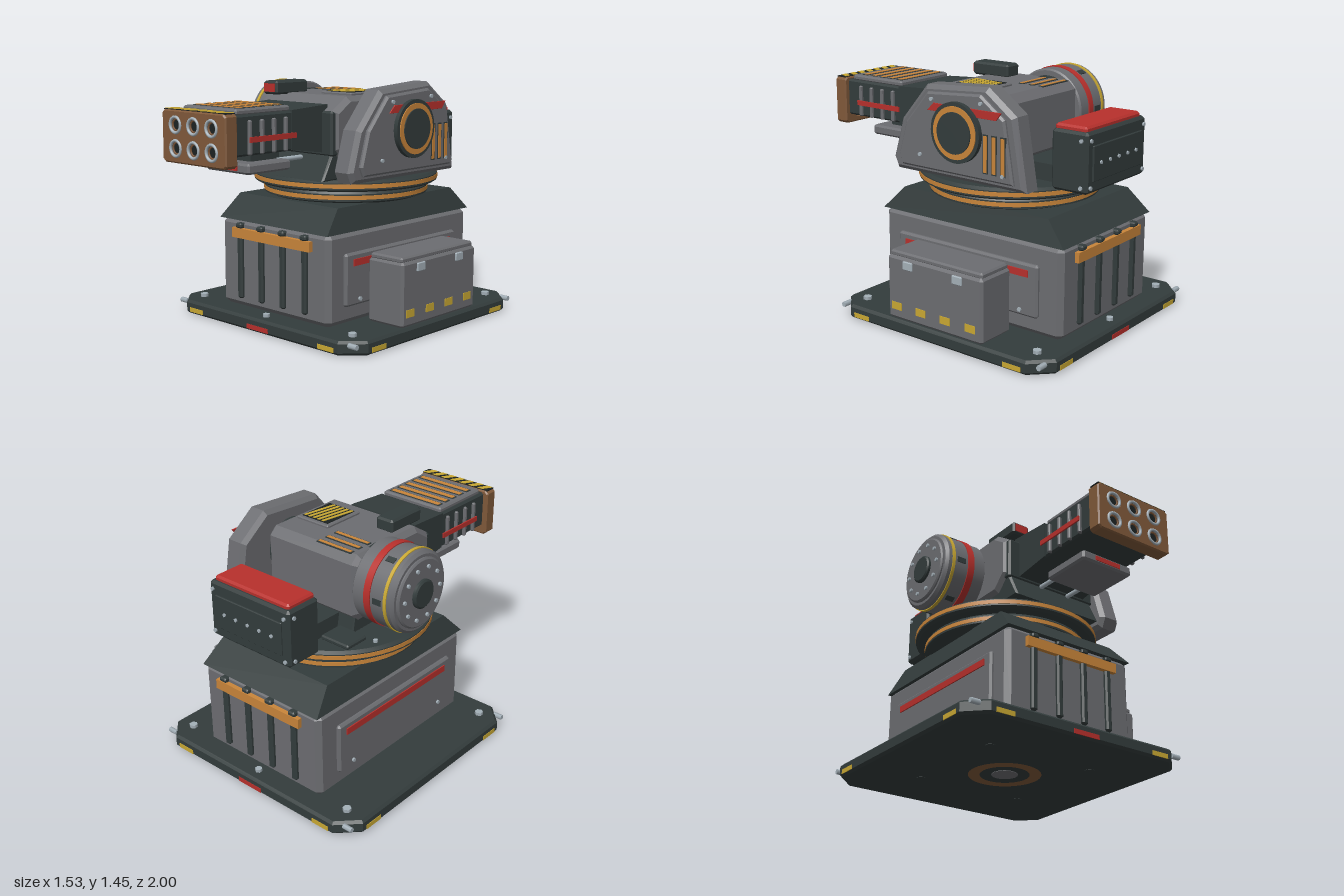
import * as THREE from 'three';
import { toCreasedNormals } from 'three/addons/utils/BufferGeometryUtils.js';

const paint = (name, color) => {
  const m = new THREE.MeshStandardMaterial({ color });
  m.name = name;
  return m;
};

// Bevelled block centred on the origin; cut is the corner chamfer seen from above
function block(w, h, d, b = 0.01, cut = b) {
  const x = w / 2, z = d / 2;
  const s = new THREE.Shape([[x - cut, -z], [x, -z + cut], [x, z - cut], [x - cut, z], [-x + cut, z], [-x, z - cut], [-x, -z + cut], [-x + cut, -z]].map(p => new THREE.Vector2(...p)));
  const g = new THREE.ExtrudeGeometry(s, { depth: h - 2 * b, bevelThickness: b, bevelSize: b, bevelOffset: -b, bevelSegments: 1 });
  return g.translate(0, 0, b - h / 2).rotateX(-Math.PI / 2);
}

// Side profile of [z, y] points extruded from x0 to x1
function sideProfile(pts, x0, x1, b) {
  const s = new THREE.Shape(pts.map(([z, y]) => new THREE.Vector2(-z, y)));
  const g = new THREE.ExtrudeGeometry(s, { depth: x1 - x0 - 2 * b, bevelThickness: b, bevelSize: b, bevelOffset: -b, bevelSegments: 1 });
  return g.translate(0, 0, x0 + b).rotateY(Math.PI / 2);
}

// Box whose vertices are moved by a rule
function warpedBox(w, h, d, rule) {
  const g = new THREE.BoxGeometry(w, h, d), p = g.attributes.position, v = new THREE.Vector3();
  for (let i = 0; i < p.count; i++) {
    rule(v.fromBufferAttribute(p, i));
    p.setXYZ(i, v.x, v.y, v.z);
  }
  g.computeVertexNormals();
  return g;
}

const lathe = (pts, n = 48) => toCreasedNormals(new THREE.LatheGeometry(pts.map(p => new THREE.Vector2(...p)), n), 0.5);
const cyl = (r, h, n = 32) => new THREE.CylinderGeometry(r, r, h, n);
const box = (w, h, d) => new THREE.BoxGeometry(w, h, d);

export function createModel() {
  const root = new THREE.Group();
  root.name = 'turret';
  const grey = paint('armour grey', 0x6c6d71), dark = paint('dark gunmetal', 0x333c3c);
  const orange = paint('orange', 0xc9853a), brown = paint('bronze', 0x80593a);
  const red = paint('red', 0xb8302c), yellow = paint('yellow', 0xc9a833);
  const silver = paint('bolt silver', 0xa4b0b8), black = paint('near black', 0x1c2222);

  const add = (name, geo, mat, x = 0, y = 0, z = 0) => {
    const m = new THREE.Mesh(geo, mat);
    m.name = name;
    m.position.set(x, y, z);
    root.add(m);
    return m;
  };
  const bolt = (x, y, z, axis = 'y', r = 0.014, h = 0.02) => {
    const m = add('bolt', cyl(r, h, 6), silver, x, y, z);
    if (axis === 'x') m.rotation.z = Math.PI / 2;
    if (axis === 'z') m.rotation.x = Math.PI / 2;
  };
  // Slanted yellow stripes lying flat on a plate
  const stripes = (name, x, y, z, w, d, n, slant) => {
    const step = (w - slant) / (n - 0.45);
    for (let i = 0; i < n; i++) {
      const a = -w / 2 + i * step, b = a + step * 0.55;
      const s = new THREE.Shape([[a, d / 2], [b, d / 2], [b + slant, -d / 2], [a + slant, -d / 2]].map(p => new THREE.Vector2(p[0], -p[1])));
      const g = new THREE.ExtrudeGeometry(s, { depth: 0.005, bevelEnabled: false }).rotateX(-Math.PI / 2);
      // shape y becomes -z, so mirror the slant by placing the strip directly
      add(name, g, yellow, x, y, z);
    }
  };
  const C = -0.235; // turntable centre z

  // Base plate with edge markings and corner bolts
  add('basePlate', block(1.52, 0.083, 1.53, 0.015, 0.12), dark, 0, 0.0415, C);
  for (const s of [-1, 1]) {
    for (const t of [-1, 1]) {
      bolt(s * 0.63, 0.09, C + t * 0.63, 'y', 0.026, 0.025);
      add('edgeMark', box(0.12, 0.028, 0.008), yellow, s * 0.55, 0.027, C + t * 0.764);
      add('edgeMark', box(0.008, 0.028, 0.12), yellow, s * 0.759, 0.027, C + t * 0.555);
      bolt(s * 0.715, 0.06, C + t * 0.72, 'x', 0.016, 0.06);
      const hole = add('footBolt', cyl(0.03, 0.006, 12), dark, s * 0.36, 0, C + t * 0.36);
      hole.position.y = 0.001;
    }
    add('edgeMarkCentre', box(0.18, 0.028, 0.008), red, 0, 0.027, C + s * 0.764);
    bolt(0, 0.092, C + s * 0.69, 'y', 0.022);
  }
  add('bottomRing', new THREE.RingGeometry(0.15, 0.22, 40).rotateX(Math.PI / 2), brown, 0, -0.003, C);
  add('bottomHub', cyl(0.08, 0.006, 20), grey, 0, 0, C);

  // Pedestal and sloped shoulder
  add('pedestal', block(0.9, 0.54, 1.29, 0.03), grey, 0, 0.355, -0.245);
  add('shoulder', warpedBox(0.9, 0.14, 1.31, v => {
    if (v.y > 0) { v.x *= 0.91; v.z *= 0.8; }
  }), dark, 0, 0.69, -0.245);

  // Pipes and orange clamp on the pedestal front and back
  for (const s of [-1, 1]) {
    const z = -0.245 + s * 0.65;
    for (const x of [-0.27, -0.09, 0.09, 0.27]) {
      add('pipe', block(0.042, 0.46, 0.035, 0.01), dark, x, 0.37, z);
      add('pipeClip', block(0.05, 0.03, 0.05, 0.008), dark, x, 0.59, z);
    }
    add('pipeClamp', box(0.65, 0.06, 0.046), orange, 0, 0.545, z);
    // Side panels with red stripe
    add('sidePanel', block(0.04, 0.31, 1.02, 0.012), grey, s * 0.453, 0.345, -0.235);
    add('sideStripe', box(0.012, 0.04, 0.9), red, s * 0.474, 0.445, -0.235);
    for (const z2 of [0.16, -0.63]) bolt(s * 0.474, 0.225, z2, 'x', 0.013);
  }

  // Supply box beside the pedestal
  add('supplyBox', block(0.26, 0.38, 0.69, 0.015), grey, 0.62, 0.275, -0.235);
  add('supplyLid', block(0.235, 0.035, 0.67, 0.01), grey, 0.617, 0.475, -0.235);
  for (const z of [-0.05, -0.41]) add('latch', block(0.015, 0.05, 0.07, 0.004), silver, 0.753, 0.425, z);
  for (const z of [0.04, -0.14, -0.32, -0.5]) add('supplyMark', box(0.008, 0.045, 0.072), yellow, 0.75, 0.165, z);

  // Turntable rings with orange bands
  add('lowerRing', lathe([[0, 0.755], [0.46, 0.755], [0.505, 0.772], [0.505, 0.815], [0.495, 0.828], [0, 0.828]]), dark, 0, 0, C);
  add('ringNeck', cyl(0.45, 0.03, 40), dark, 0, 0.83, C);
  add('upperRing', lathe([[0, 0.836], [0.545, 0.836], [0.565, 0.848], [0.565, 0.888], [0.545, 0.902], [0, 0.902]]), dark, 0, 0, C);
  for (const [r, y] of [[0.505, 0.795], [0.565, 0.87]])
    add('ringBand', lathe([[r - 0.01, y - 0.012], [r + 0.003, y - 0.012], [r + 0.003, y + 0.012], [r - 0.01, y + 0.012]]), orange, 0, 0, C);
  for (let i = 0; i < 8; i++) {
    const a = (i + 0.5) * Math.PI / 4;
    bolt(Math.sin(a) * 0.5, 0.908, C + Math.cos(a) * 0.5);
  }
  add('deckHatch', block(0.2, 0.03, 0.16, 0.008), dark, -0.31, 0.915, -0.52);

  // Yoke and main body
  add('yoke', sideProfile([[0.3, 0.9], [0.22, 1.06], [-0.42, 1.06], [-0.45, 0.9]], -0.31, 0.31, 0.012), dark);
  add('body', sideProfile([[0.12, 0.97], [0.22, 1.07], [0.22, 1.3], [0.1, 1.378], [-0.4, 1.378], [-0.45, 1.33], [-0.45, 1.02], [-0.4, 0.97]], -0.335, 0.335, 0.03), grey);
  add('mantlet', block(0.64, 0.26, 0.06, 0.012), dark, 0, 1.17, 0.205);
  add('axle', cyl(0.17, 0.16).rotateZ(Math.PI / 2), dark, 0.35, 1.185, C);
  add('axle', cyl(0.2, 0.08).rotateZ(Math.PI / 2), dark, -0.33, 1.185, C);

  // Roof details: vents, hazard plate and sensor
  for (const z of [-0.4, -0.33, -0.255]) {
    add('roofVentFrame', box(0.25, 0.006, 0.034), dark, -0.148, 1.379, z);
    add('roofVent', box(0.235, 0.008, 0.02), orange, -0.148, 1.381, z);
  }
  add('hazardFrame', block(0.24, 0.022, 0.285, 0.006), grey, 0.165, 1.382, -0.107);
  add('hazardPlate', box(0.195, 0.006, 0.235), black, 0.165, 1.393, -0.107);
  stripes('hazardStripe', 0.165, 1.394, -0.107, 0.19, 0.22, 5, 0.035);
  add('sensor', block(0.12, 0.08, 0.27, 0.012), dark, -0.213, 1.41, 0.075);
  add('sensorLens', box(0.09, 0.05, 0.008), red, -0.213, 1.41, 0.21);

  // Gun neck and barrel block
  add('gunNeck', warpedBox(0.49, 0.28, 0.28, v => {
    if (v.z > 0) { v.y = v.y * 0.8 + 0.012; v.x *= 0.97; }
  }), dark, 0, 1.195, 0.33);
  add('gunHousing', block(0.465, 0.225, 0.6, 0.012), dark, 0, 1.203, 0.62);
  add('gunTopPlate', block(0.44, 0.035, 0.41, 0.01), grey, 0, 1.328, 0.67);
  for (let i = 0; i < 5; i++) {
    add('coolingSlotFrame', box(0.38, 0.006, 0.046), dark, 0, 1.345, 0.51 + i * 0.0725);
    add('coolingSlot', box(0.36, 0.008, 0.03), orange, 0, 1.347, 0.51 + i * 0.0725);
  }
  for (const s of [-1, 1]) {
    for (const z of [0.79, 0.7, 0.61, 0.52]) add('gunRib', block(0.03, 0.19, 0.024, 0.006), grey, s * 0.235, 1.19, z);
    add('gunStripe', box(0.009, 0.03, 0.35), red, s * 0.255, 1.18, 0.63);
  }

  // Under-gun pod
  add('underPod', block(0.36, 0.06, 0.33, 0.012), grey, 0, 1.005, 0.585);
  add('underPodMount', box(0.2, 0.07, 0.22), dark, 0, 1.06, 0.55);
  add('underPodLens', box(0.18, 0.028, 0.008), red, 0, 1.005, 0.751);
  for (const x of [-0.1, 0.1]) add('underPodRod', cyl(0.014, 0.2, 10).rotateX(Math.PI / 2), silver, x, 1.025, 0.36);

  // Muzzle block with six bores
  const face = new THREE.Shape([[-0.265, -0.13], [-0.245, -0.147], [0.245, -0.147], [0.265, -0.13], [0.265, 0.13], [0.245, 0.147], [-0.245, 0.147], [-0.265, 0.13]].map(p => new THREE.Vector2(...p)));
  const bores = [];
  for (const x of [-0.15, 0, 0.15]) for (const y of [-0.065, 0.065]) bores.push([x, y]);
  for (const [x, y] of bores) face.holes.push(new THREE.Path().absarc(x, y, 0.045, 0, Math.PI * 2, true));
  add('muzzleBlock', new THREE.ExtrudeGeometry(face, { depth: 0.07, bevelThickness: 0.008, bevelSize: 0.008, bevelOffset: -0.008, bevelSegments: 1, curveSegments: 12 }), brown, 0, 1.182, 0.908);
  add('muzzleBack', box(0.48, 0.25, 0.02), black, 0, 1.182, 0.915);
  for (const [x, y] of bores) {
    add('boreRing', new THREE.TorusGeometry(0.044, 0.009, 8, 20), silver, x, 1.182 + y, 0.985);
    add('boreLiner', new THREE.TorusGeometry(0.032, 0.005, 6, 20), brown, x, 1.182 + y, 0.975);
    add('bore', cyl(0.034, 0.05, 20).rotateX(Math.PI / 2), black, x, 1.182 + y, 0.945);
  }
  add('muzzleHazard', box(0.51, 0.006, 0.068), black, 0, 1.33, 0.943);
  stripes('muzzleStripe', 0, 1.331, 0.943, 0.5, 0.064, 7, 0.035);

  // Drum on the model's right side
  const drum = (name, pts, mat, n) => add(name, lathe(pts, n).rotateZ(Math.PI / 2), mat, 0, 1.185, C);
  drum('drum', [[0, 0.33], [0.23, 0.33], [0.24, 0.34], [0.24, 0.595], [0.222, 0.612], [0, 0.612]], grey);
  drum('drumCap', [[0, 0.6], [0.205, 0.6], [0.205, 0.62], [0.195, 0.628], [0, 0.628]], grey);
  drum('drumHub', [[0, 0.62], [0.085, 0.62], [0.085, 0.642], [0.075, 0.65], [0, 0.65]], dark);
  const band = (a, b) => [[0.235, a], [0.246, a], [0.246, b], [0.235, b]];
  drum('drumRedBand', band(0.417, 0.46), red);
  drum('drumYellowBand', band(0.553, 0.572), yellow);
  for (let i = 0; i < 10; i++) {
    const a = i * Math.PI / 5;
    bolt(-0.632, 1.185 + Math.sin(a) * 0.155, C + Math.cos(a) * 0.155, 'x', 0.012, 0.016);
  }
  for (let i = 0; i < 6; i++) {
    const a = i * Math.PI / 3;
    const m = add('drumWindow', box(0.056, 0.034, 0.012), dark, -0.508, 1.185 + Math.sin(a) * 0.238, C + Math.cos(a) * 0.238);
    m.rotation.x = -a;
  }

  // Armoured cheek on the model's left side
  const cheek = [[0.25, 0.9], [0.28, 0.965], [0.21, 1.2], [0.02, 1.42], [-0.42, 1.45], [-0.61, 1.31], [-0.68, 0.9]];
  add('cheek', sideProfile(cheek, 0.362, 0.505, 0.025), grey);
  add('cheekPlate', sideProfile(cheek.map(([z, y]) => [-0.21 + (z + 0.21) * 0.86, 1.175 + (y - 1.175) * 0.86]), 0.49, 0.528, 0.012), grey);
  add('cheekStripe', sideProfile([[-0.02, 1.285], [-0.065, 1.33], [-0.54, 1.33], [-0.505, 1.285]], 0.525, 0.534, 0.001), red);
  for (const z of [-0.43, -0.49, -0.55]) {
    add('cheekVentFrame', box(0.008, 0.22, 0.036), dark, 0.527, 1.09, z);
    add('cheekVent', box(0.009, 0.205, 0.024), orange, 0.53, 1.09, z);
  }
  const hub = (name, r, x, mat) => add(name, cyl(r, 0.06, 40).rotateZ(Math.PI / 2), mat, x - 0.03, 1.185, C);
  hub('pivotRim', 0.172, 0.555, dark);
  hub('pivotRing', 0.15, 0.561, orange);
  hub('pivotCap', 0.118, 0.568, dark);
  for (const [z, y] of [[0.04, 1.02], [-0.05, 1.35], [-0.55, 0.985], [-0.4, 1.365]]) bolt(0.53, y, z, 'x', 0.012);

  // Rear ammunition box
  add('rearBox', block(0.6, 0.34, 0.235, 0.015), dark, 0, 1.065, -0.82);
  add('rearLid', block(0.555, 0.05, 0.205, 0.012), red, 0, 1.237, -0.812);
  add('rearPanel', block(0.5, 0.2, 0.014, 0.004), dark, 0, 1.06, -0.94);
  add('rearBracket', box(0.4, 0.1, 0.32), dark, 0, 0.95, -0.57);
  for (let i = -2; i <= 2; i++) bolt(i * 0.09, 1.06, -0.948, 'z', 0.011, 0.014);
  for (const s of [-1, 1]) for (const y of [0.93, 1.19]) {
    bolt(s * 0.27, y, -0.94, 'z', 0.012, 0.016);
    bolt(s * 0.302, y, -0.9, 'x', 0.012, 0.016);
  }
  return root;
}
